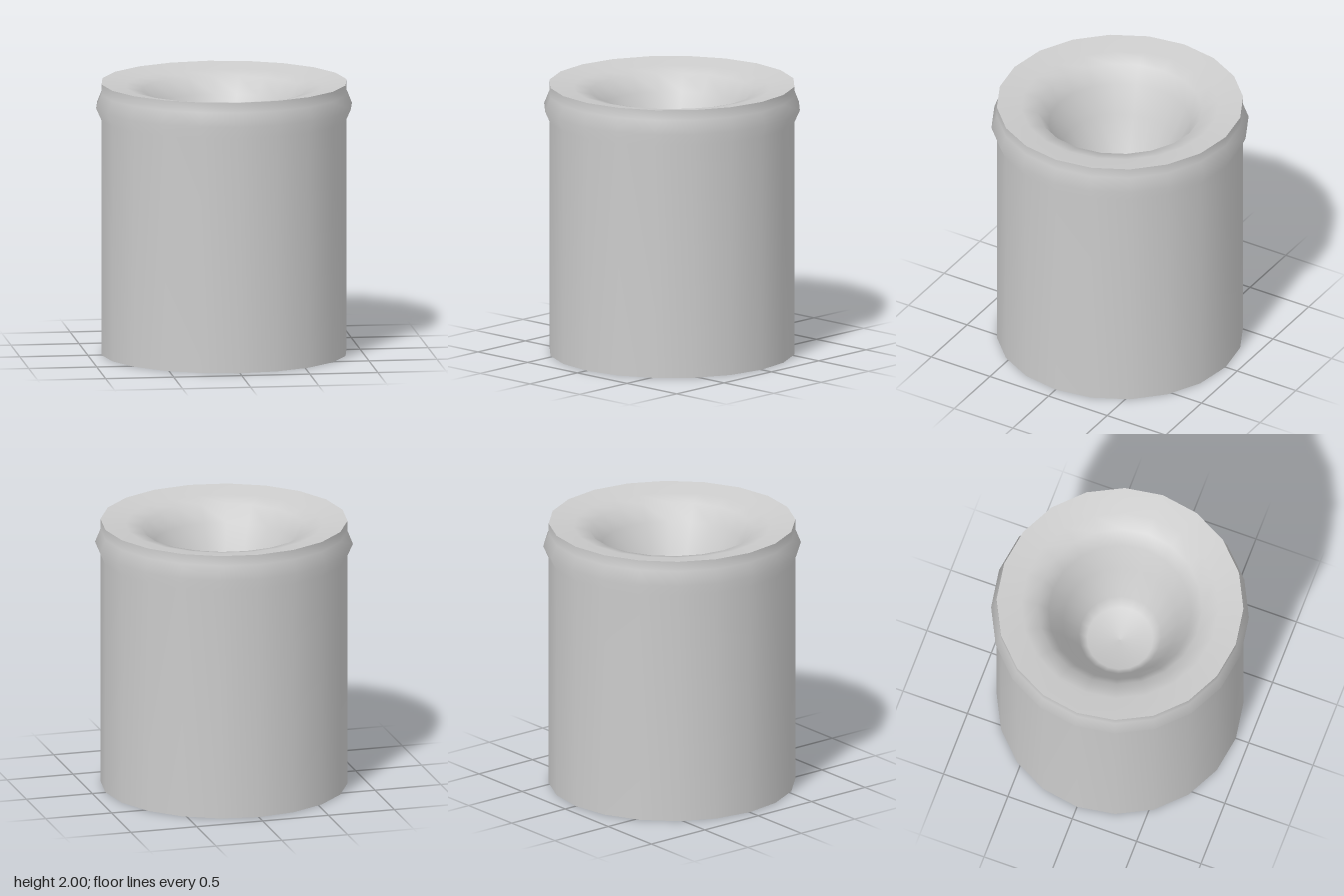
import * as THREE from 'three';

const SIDES = 20;

// Smooth turned surface from [radius, height] pairs
function turned(name, profile) {
  const points = profile.map(([r, y]) => new THREE.Vector2(r, y));
  const material = new THREE.MeshStandardMaterial({ color: 0xcccccc });
  const mesh = new THREE.Mesh(new THREE.LatheGeometry(points, SIDES), material);
  mesh.name = name;
  return mesh;
}

export function createModel() {
  const group = new THREE.Group();
  group.name = 'hollowedCylinder';

  // Flat underside
  group.add(turned('base', [[0, 0], [0.9, 0]]));

  // Straight wall with a pointed band just below the rim
  group.add(turned('outerWall', [
    [0.9, 0], [0.9, 1.735], [0.94, 1.825], [0.9, 1.925], [0.9, 2],
  ]));

  // Shallow rim slope, rounded lip, steep funnel and dished floor
  group.add(turned('funnel', [
    [0.9, 2], [0.72, 1.97], [0.6, 1.94], [0.52, 1.82],
    [0.42, 1.62], [0.3, 1.34], [0.24, 1.27], [0, 1.24],
  ]));

  return group;
}
